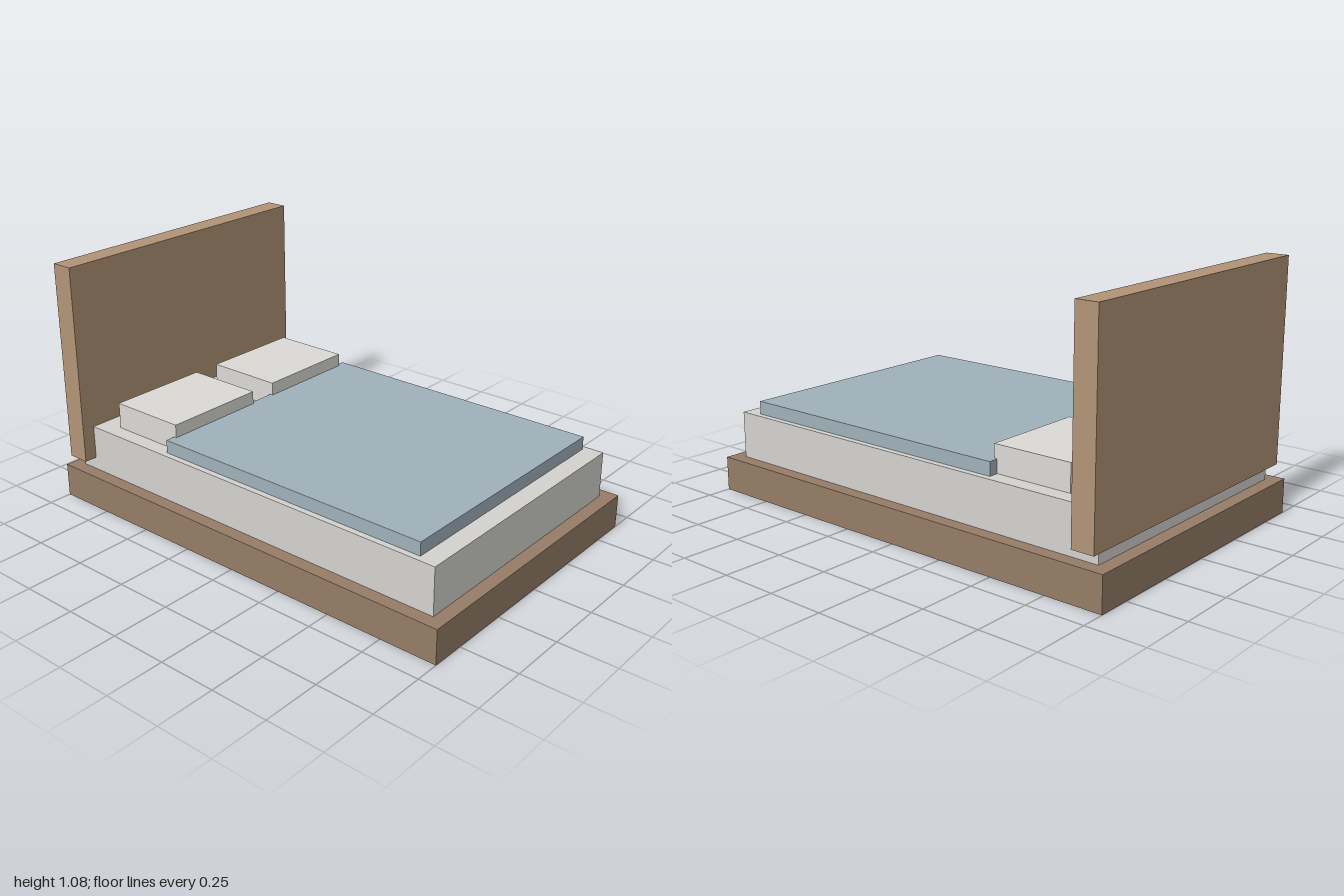
import * as THREE from 'three';

const material = (color) => new THREE.MeshStandardMaterial({ color });

// Box given by its extents along x, y and z
function block(name, [x0, x1], [y0, y1], [z0, z1], mat) {
  const mesh = new THREE.Mesh(new THREE.BoxGeometry(x1 - x0, y1 - y0, z1 - z0), mat);
  mesh.name = name;
  mesh.position.set((x0 + x1) / 2, (y0 + y1) / 2, (z0 + z1) / 2);
  return mesh;
}

export function createModel() {
  const bed = new THREE.Group();
  bed.name = 'bed';

  const darkWood = material(0x967d68);
  const lightWood = material(0xb29477);
  const sheet = material(0xd4d3cf);
  const pillowCloth = material(0xdbdad6);
  const blanketCloth = material(0xa0b1ba);

  // Solid plinth and the mattress on it
  bed.add(block('base', [-0.647, 0.647], [0, 0.148], [-1, 1], darkWood));
  bed.add(block('mattress', [-0.59, 0.59], [0.148, 0.35], [-0.942, 0.942], sheet));

  // Headboard, floating just above the plinth
  bed.add(block('headboard', [-0.647, 0.647], [0.203, 1.075], [-0.962, -0.865], lightWood));

  // Blanket, tucked slightly under the pillows
  bed.add(block('blanket', [-0.564, 0.564], [0.35, 0.407], [-0.432, 0.86], blanketCloth));

  // Pair of pillows
  for (const [name, x] of [['leftPillow', 0.292], ['rightPillow', -0.292]]) {
    bed.add(block(name, [x - 0.23, x + 0.23], [0.35, 0.464], [-0.768, -0.418], pillowCloth));
  }

  return bed;
}
